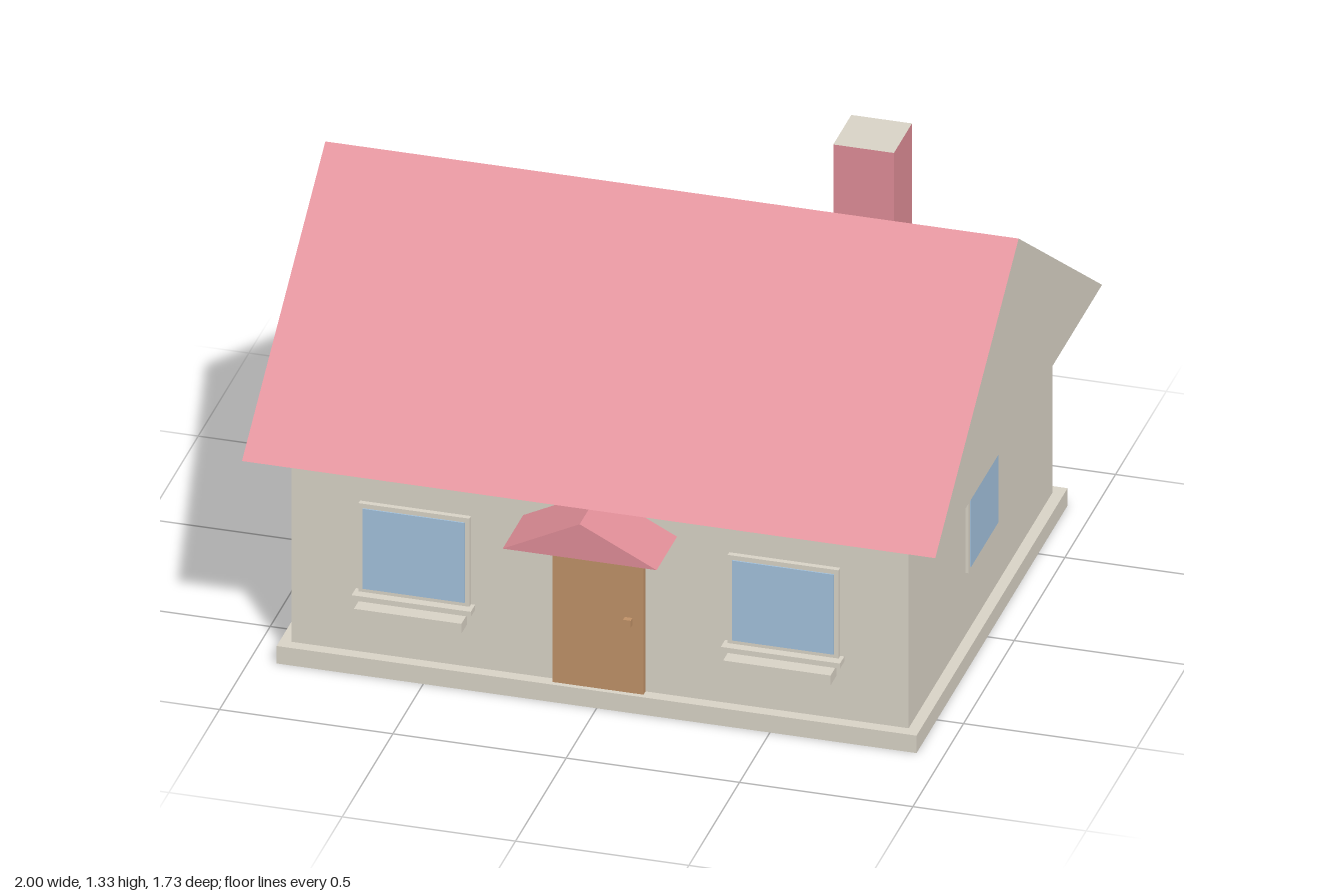
import * as THREE from 'three';

function material(name, color, extra = {}) {
  const m = new THREE.MeshStandardMaterial({ color, ...extra });
  m.name = name;
  return m;
}

export function createModel() {
  const house = new THREE.Group();
  house.name = 'house';

  const plaster = material('plaster', 0xd9d3c6, { side: THREE.DoubleSide });
  const tile = material('roofTile', 0xdf8d97, { side: THREE.DoubleSide });
  const wood = material('doorWood', 0xbf9167);
  const glass = material('windowGlass', 0xa2c1dc);

  function add(parent, name, geometry, mat) {
    const mesh = new THREE.Mesh(geometry, mat);
    mesh.name = name;
    parent.add(mesh);
    return mesh;
  }

  // Box given by its minimum and maximum on each axis
  function box(parent, name, [x0, x1], [y0, y1], [z0, z1], mat) {
    const mesh = add(parent, name, new THREE.BoxGeometry(x1 - x0, y1 - y0, z1 - z0), mat);
    mesh.position.set((x0 + x1) / 2, (y0 + y1) / 2, (z0 + z1) / 2);
    return mesh;
  }

  // Box without its bottom face
  function openBox(...args) {
    const { geometry } = box(house, ...args);
    geometry.setIndex([...geometry.index.array].filter((_, i) => i < 18 || i >= 24));
    geometry.clearGroups();
  }

  // Flat polygon, corners counter-clockwise from outside
  function polygon(...corners) {
    const fan = [];
    for (let i = 2; i < corners.length; i++) fan.push(corners[0], corners[i - 1], corners[i]);
    const g = new THREE.BufferGeometry();
    g.setAttribute('position', new THREE.Float32BufferAttribute(fan.flat(), 3));
    g.computeVertexNormals();
    return g;
  }

  // Gabled roof with its ridge along x, open underneath
  function gabledRoof(name, length, width, rise, gableMaterial) {
    const group = new THREE.Group();
    group.name = name;
    house.add(group);
    for (const s of [1, -1]) {
      const l = s * length / 2, w = s * width / 2;
      add(group, s > 0 ? 'frontSlope' : 'backSlope',
        polygon([-l, 0, w], [l, 0, w], [l, rise, 0], [-l, rise, 0]), tile);
      add(group, s > 0 ? 'leftGable' : 'rightGable',
        polygon([l, 0, w], [l, 0, -w], [l, rise, 0]), gableMaterial);
    }
    return group;
  }

  // Plinth and walls
  openBox('plinth', [-0.923, 0.923], [0, 0.055], [-0.79, 0.7], plaster);
  openBox('walls', [-0.89, 0.89], [0.055, 0.668], [-0.753, 0.665], plaster);

  // Main roof
  gabledRoof('roof', 2, 1.646, 0.577, plaster).position.set(0, 0.668, -0.044);

  // Chimney with a pale cap face
  box(house, 'chimney', [0.4, 0.575], [0.8, 1.333], [-0.445, -0.267],
    [tile, tile, plaster, tile, tile, tile]);

  // Door, handle and the small gabled canopy above
  box(house, 'door', [-0.132, 0.131], [0.055, 0.511], [0.66, 0.685], wood);
  box(house, 'doorHandle', [0.077, 0.099], [0.27, 0.292], [0.685, 0.702], wood);
  const canopy = gabledRoof('doorCanopy', 0.202, 0.444, 0.111, tile);
  canopy.rotation.y = Math.PI / 2;
  canopy.position.set(0, 0.557, 0.766);

  // Window facing +z, centred on x and y, wall surface at z = 0
  function makeWindow(name, w, h, depth) {
    const group = new THREE.Group();
    group.name = name;
    house.add(group);
    const outline = (a, b) => [[-a, -b], [a, -b], [a, b], [-a, b]].map(p => new THREE.Vector2(...p));
    const shape = new THREE.Shape(outline(w / 2, h / 2));
    shape.holes.push(new THREE.Path(outline(w / 2 - 0.013, h / 2 - 0.014).reverse()));
    add(group, 'windowFrame', new THREE.ExtrudeGeometry(shape, { depth, bevelEnabled: false }), plaster);
    box(group, 'windowPane', [-w / 2 + 0.013, w / 2 - 0.013], [-h / 2 + 0.014, h / 2 - 0.014],
      [depth - 0.004, depth + 0.004], glass);
    return group;
  }

  // Front windows, each with a sill and a planter box
  for (const side of [-1, 1]) {
    const win = makeWindow(side > 0 ? 'leftFrontWindow' : 'rightFrontWindow', 0.32, 0.28, 0.016);
    win.position.set(side * 0.5325, 0.391, 0.665);
    box(win, 'windowSill', [-0.172, 0.172], [-0.154, -0.138], [0, 0.043], plaster);
    box(win, 'planterBox', [-0.155, 0.155], [-0.191, -0.16], [0.02, 0.078], plaster);
  }

  // Single window on the left wall
  const sideWindow = makeWindow('leftSideWindow', 0.297, 0.28, 0.009);
  sideWindow.rotation.y = Math.PI / 2;
  sideWindow.position.set(0.89, 0.392, -0.043);

  return house;
}
